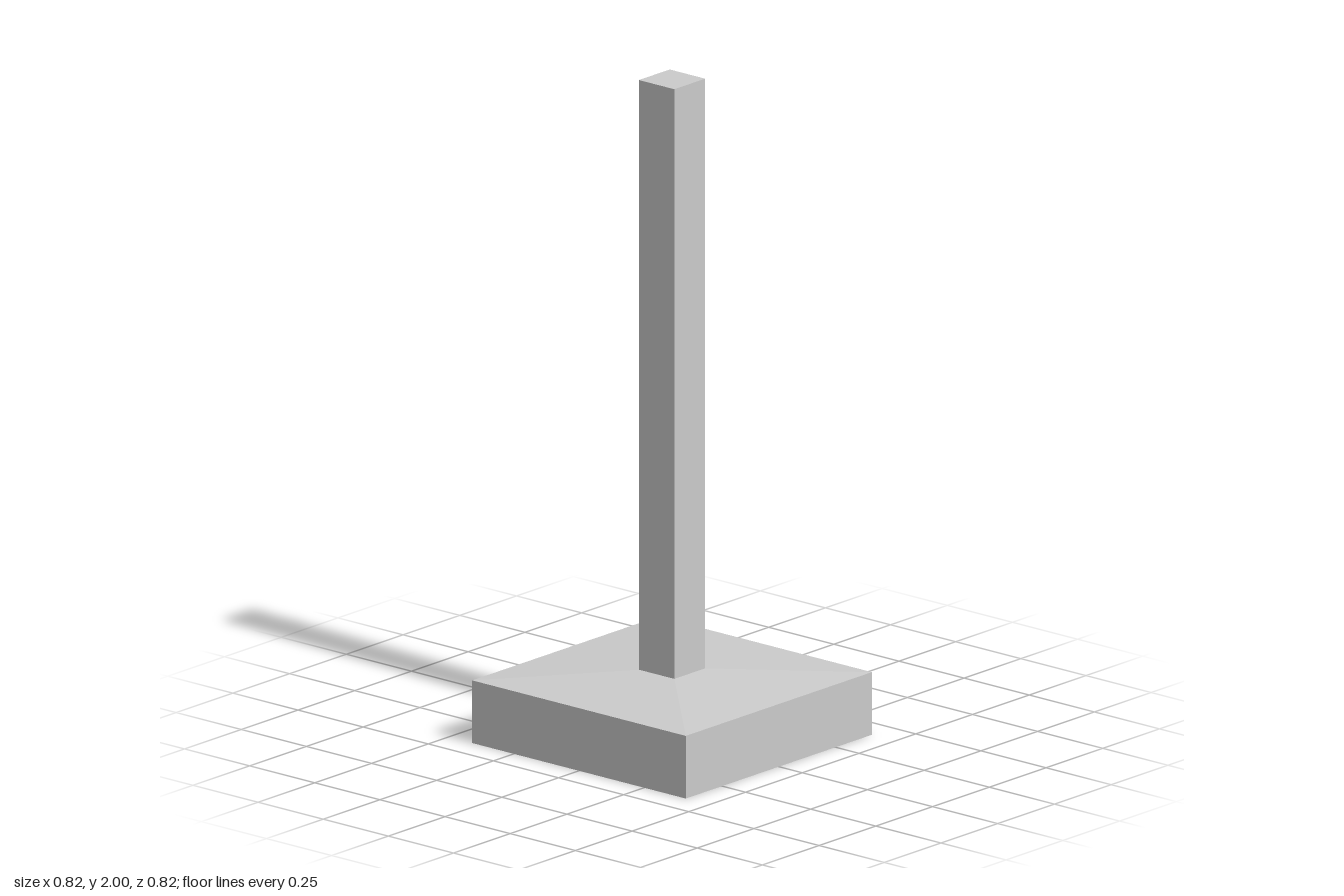
import * as THREE from 'three';

const BASE = 0.41;   // half width of the footing
const POST = 0.068;  // half width of the post
const BASE_TOP = 0.19;
const SLOPE_TOP = 0.212;

// Square prism or frustum between two heights, given half widths
function squareBlock(name, bottomHalf, topHalf, y0, y1, material, open = false) {
  const geometry = new THREE.CylinderGeometry(
    topHalf * Math.SQRT2, bottomHalf * Math.SQRT2, y1 - y0, 4, 1, open);
  geometry.rotateY(Math.PI / 4);
  geometry.translate(0, (y0 + y1) / 2, 0);
  const mesh = new THREE.Mesh(geometry, material);
  mesh.name = name;
  return mesh;
}

export function createModel() {
  const group = new THREE.Group();
  group.name = 'postOnFooting';
  const material = new THREE.MeshStandardMaterial({ color: 0xcccccc, flatShading: true });
  const thin = material.clone();
  thin.side = THREE.DoubleSide;

  // Square footing: four walls and an underside
  const footing = squareBlock('footingWalls', BASE, BASE, 0, BASE_TOP, thin, true);
  const underside = new THREE.Mesh(new THREE.PlaneGeometry(2 * BASE, 2 * BASE), material);
  underside.rotation.x = Math.PI / 2;
  underside.name = 'footingUnderside';

  // Shallow sloping top, rising to the post
  const slope = squareBlock('footingSlope', BASE, POST, BASE_TOP, SLOPE_TOP, thin, true);

  // Tall square post
  const post = squareBlock('postSides', POST, POST, SLOPE_TOP, 2, thin, true);
  const cap = new THREE.Mesh(new THREE.PlaneGeometry(2 * POST, 2 * POST), material);
  cap.rotation.x = -Math.PI / 2;
  cap.position.y = 2;
  cap.name = 'postTop';

  group.add(footing, underside, slope, post, cap);
  return group;
}
